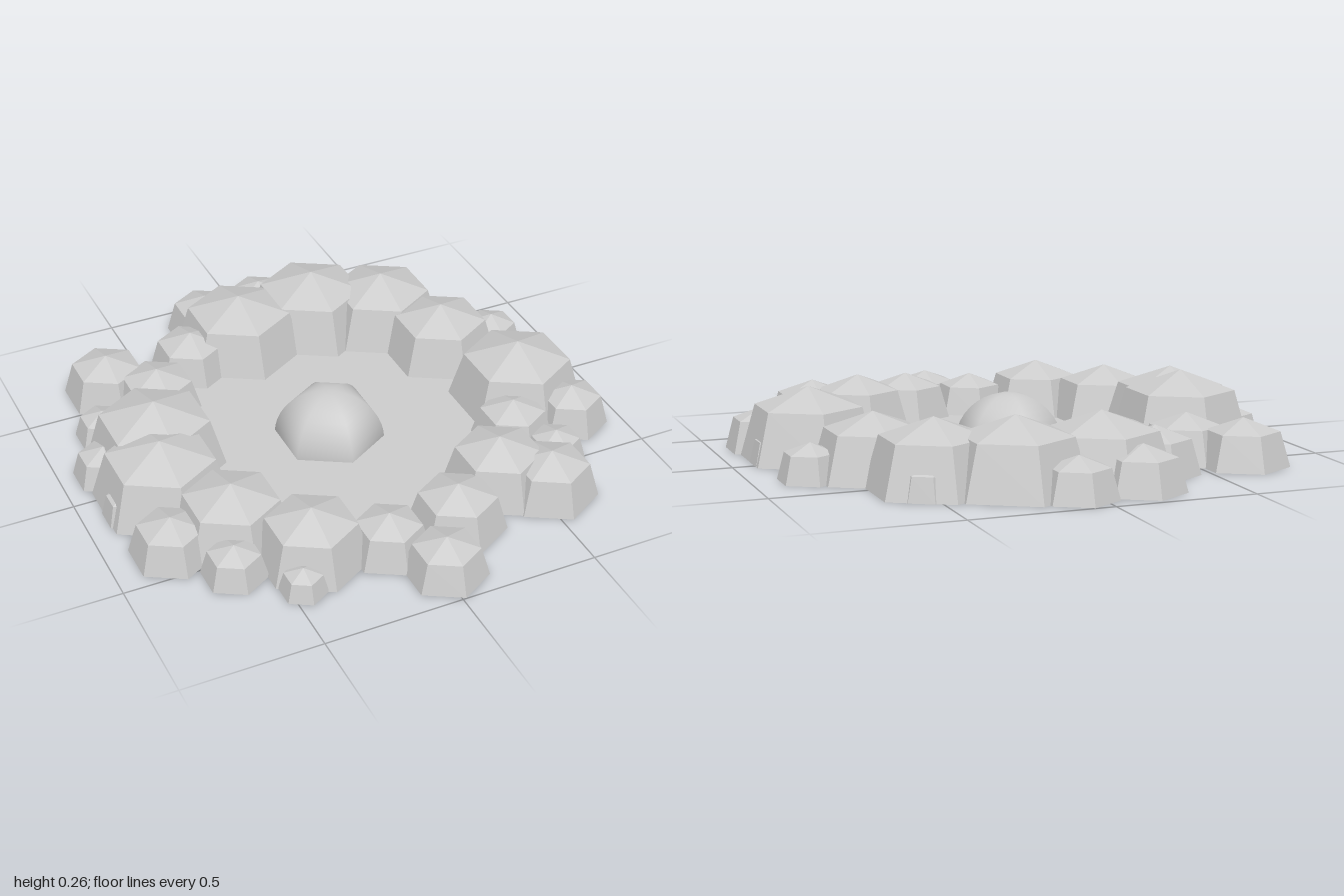
import * as THREE from 'three';

const SIDES = 6;
const flat = new THREE.MeshStandardMaterial({ color: 0xcccccc, flatShading: true, side: THREE.DoubleSide });
const smooth = new THREE.MeshStandardMaterial({ color: 0xcccccc, side: THREE.DoubleSide });

// Hexagonal hut: sloping walls up to a shoulder, then a shallow pointed roof, open below
function makeHut(x, z, radius, height) {
  const profile = [
    new THREE.Vector2(radius, 0),
    new THREE.Vector2(radius * 0.78, height * 0.73),
    new THREE.Vector2(0, height),
  ];
  const hut = new THREE.Mesh(new THREE.LatheGeometry(profile, SIDES), flat);
  hut.position.set(x, 0, z);
  return hut;
}

// Each hut: x, z, base radius, peak height
const HUTS = [
  // back
  [-0.17, -0.83, 0.15, 0.16], [0.07, -0.86, 0.137, 0.145], [-0.1, -0.65, 0.25, 0.245],
  [-0.32, -0.6, 0.16, 0.17], [0.215, -0.675, 0.252, 0.255], [0.46, -0.565, 0.238, 0.245],
  [0.525, -0.68, 0.09, 0.115],
  // +x side
  [0.585, -0.3, 0.22, 0.225], [0.8, -0.285, 0.117, 0.13], [0.705, 0.08, 0.25, 0.255],
  [0.84, 0.025, 0.095, 0.112], [0.58, 0.28, 0.15, 0.16], [0.82, 0.285, 0.14, 0.155],
  [0.66, 0.455, 0.11, 0.118],
  // front
  [0.395, 0.51, 0.197, 0.21], [0.54, 0.625, 0.172, 0.18], [0.16, 0.65, 0.175, 0.18],
  [-0.11, 0.67, 0.147, 0.16], [0.013, 0.85, 0.148, 0.15], [-0.36, 0.59, 0.203, 0.21],
  [-0.455, 0.735, 0.085, 0.095],
  // -x side
  [-0.63, 0.565, 0.117, 0.125], [-0.555, 0.365, 0.215, 0.215], [-0.78, 0.375, 0.15, 0.155],
  [-0.7, 0.08, 0.25, 0.245], [-0.845, 0.12, 0.09, 0.11], [-0.645, -0.12, 0.255, 0.265],
  [-0.84, -0.125, 0.115, 0.125], [-0.765, -0.345, 0.105, 0.112], [-0.52, -0.43, 0.165, 0.17],
  [-0.66, -0.59, 0.165, 0.17],
];

export function createModel() {
  const model = new THREE.Group();
  model.name = 'hutRing';

  // Eight-sided floor, just above the ground
  const floor = new THREE.Mesh(new THREE.CircleGeometry(0.64, 8), flat);
  floor.name = 'floor';
  floor.rotation.x = -Math.PI / 2;
  floor.position.set(-0.02, 0.012, 0);
  model.add(floor);

  // Smooth six-sided dome in the middle
  const dome = new THREE.Mesh(
    new THREE.SphereGeometry(0.2, SIDES, 10, 0, Math.PI * 2, 0, Math.PI / 2), smooth);
  dome.name = 'centreDome';
  dome.rotation.y = Math.PI / 2;
  dome.position.x = -0.02;
  model.add(dome);

  // Ring of overlapping huts
  const huts = new THREE.Group();
  huts.name = 'huts';
  HUTS.forEach((spec, i) => {
    const hut = makeHut(...spec);
    hut.name = `hut${i + 1}`;
    huts.add(hut);
  });
  model.add(huts);
  return model;
}
